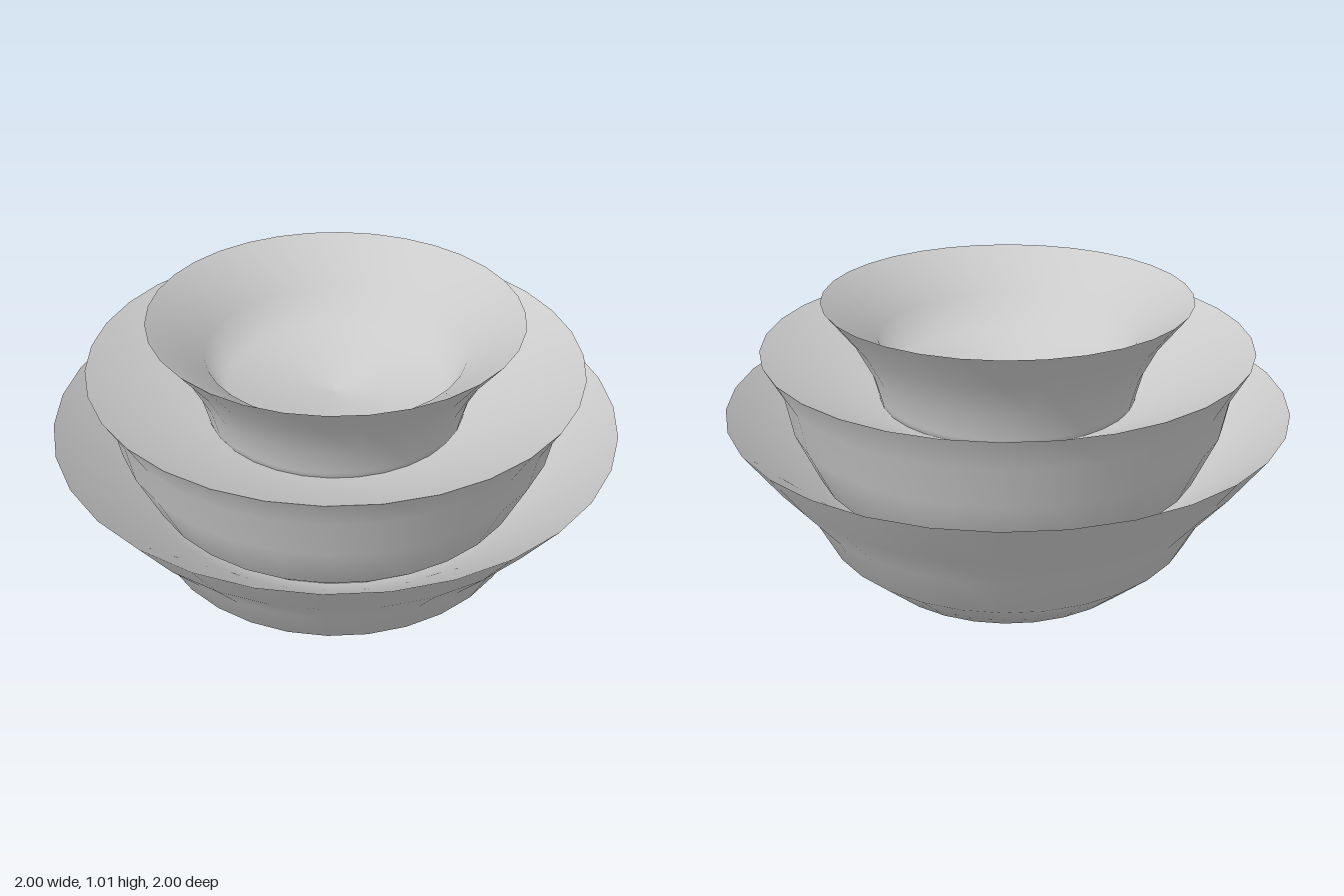
import * as THREE from 'three';

const SIDES = 32;
const material = new THREE.MeshStandardMaterial({ color: 0xcccccc, side: THREE.DoubleSide });

// Surface turned from [radius, height] points
function turned(name, profile) {
  const points = profile.map(([r, y]) => new THREE.Vector2(r, y));
  const mesh = new THREE.Mesh(new THREE.LatheGeometry(points, SIDES), material);
  mesh.name = name;
  return mesh;
}

// Bowl with a waisted outer shell and a plainer hollow, meeting in a sharp rim
function makeBowl(name, shell, hollow) {
  const bowl = new THREE.Group();
  bowl.name = name;
  const rim = shell[shell.length - 1];
  bowl.add(turned('outerShell', shell), turned('hollow', [rim, ...hollow]));
  return bowl;
}

export function createModel() {
  const group = new THREE.Group();
  group.name = 'nestedBowls';
  // Shells run from the base centre up to the rim, hollows from below the rim to the floor centre
  group.add(
    makeBowl('largeBowl',
      [[0, 0], [0.54, 0], [0.69, 0.15], [0.765, 0.31], [0.88, 0.46], [1, 0.64]],
      [[0.7, 0.36], [0.55, 0.28], [0, 0.26]]),
    makeBowl('mediumBowl',
      [[0, 0.3], [0.6, 0.3], [0.7, 0.4], [0.78, 0.59], [0.803, 0.73], [0.865, 0.85]],
      [[0.46, 0.64], [0, 0.61]]),
    makeBowl('smallBowl',
      [[0, 0.62], [0.46, 0.62], [0.465, 0.66], [0.49, 0.76], [0.55, 0.88], [0.648, 1.01]],
      [[0.46, 0.865], [0.39, 0.74], [0, 0.68]]),
  );
  return group;
}
